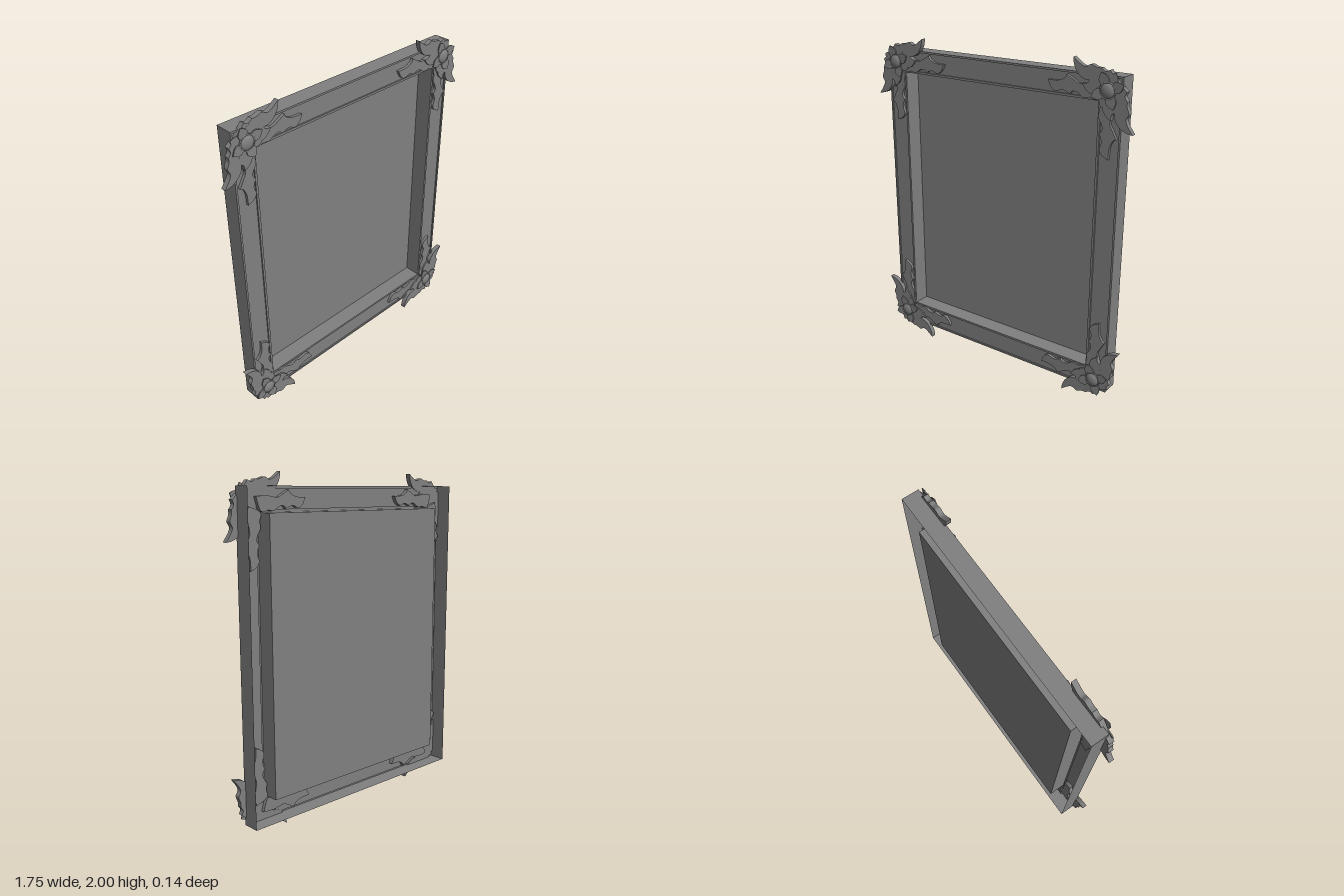
import * as THREE from 'three';

const grey = new THREE.MeshStandardMaterial({ color: 0x808080, side: THREE.DoubleSide });
const greyFlat = new THREE.MeshStandardMaterial({ color: 0x808080, side: THREE.DoubleSide, flatShading: true });

function add(parent, name, geometry, material) {
  const mesh = new THREE.Mesh(geometry, material);
  mesh.name = name;
  parent.add(mesh);
  return mesh;
}

// Moulding: rectangular rings [inset, z] joined in a loop, from back outer edge to tray bottom
function mouldingGeometry(halfW, halfH, profile) {
  const corners = [[1, 1], [-1, 1], [-1, -1], [1, -1]];
  const at = ([inset, z], i) => {
    const [sx, sy] = corners[i % 4];
    return [sx * (halfW - inset), sy * (halfH - inset), z];
  };
  const pos = [];
  for (let k = 0; k < profile.length - 1; k++) {
    for (let i = 0; i < 4; i++) {
      const a = at(profile[k], i), b = at(profile[k], i + 1);
      const c = at(profile[k + 1], i + 1), d = at(profile[k + 1], i);
      pos.push(...a, ...b, ...c, ...a, ...c, ...d);
    }
  }
  const geo = new THREE.BufferGeometry();
  geo.setAttribute('position', new THREE.Float32BufferAttribute(pos, 3));
  geo.computeVertexNormals();
  return geo;
}

// Leaf outline: each run is a smooth curve, and runs meet in sharp points
function leafGeometry(leaf, map) {
  const shape = new THREE.Shape();
  const toVec = (p) => new THREE.Vector2(...map(p));
  const first = toVec(leaf.start);
  shape.moveTo(first.x, first.y);
  for (const run of leaf.runs) shape.splineThru(run.map(toVec));
  const geo = new THREE.ExtrudeGeometry(shape, { depth: leaf.depth, bevelEnabled: false, curveSegments: 5 });
  return geo.translate(0, 0, leaf.z);
}

// Leaf outlines around the flower; x and y grow towards the outer corner
const OUTER_LEAF = {
  z: 0.018,
  depth: 0.03,
  start: [0.05, 0.05],
  runs: [
    [[0.025, 0.08], [0.005, 0.105]],
    [[-0.02, 0.095], [-0.045, 0.11]],
    [[-0.07, 0.11], [-0.105, 0.122], [-0.135, 0.108], [-0.165, 0.118], [-0.21, 0.15]],
    [[-0.203, 0.11], [-0.18, 0.07], [-0.145, 0.045], [-0.11, 0.04]],
    [[-0.125, 0.025], [-0.155, 0.02]],
    [[-0.11, -0.025], [-0.03, -0.03]],
    [[0.05, 0.05]],
  ],
};
const INNER_LEAF = {
  z: -0.003,
  depth: 0.042,
  start: [-0.03, 0.02],
  runs: [
    [[-0.1, 0.025], [-0.17, 0.015], [-0.205, 0.03], [-0.25, 0.055]],
    [[-0.262, 0.035], [-0.3, 0.018], [-0.365, 0.014]],
    [[-0.345, -0.025], [-0.315, -0.042], [-0.275, -0.03], [-0.23, -0.045]],
    [[-0.21, -0.03], [-0.18, -0.035], [-0.145, -0.055], [-0.11, -0.05]],
    [[-0.06, -0.055], [-0.03, 0.02]],
  ],
};

// Flower: two layers of pointed petals, a collar and a domed centre
function createFlower() {
  const flower = new THREE.Group();
  flower.name = 'flower';
  const petal = new THREE.Shape();
  petal.moveTo(0.02, 0);
  petal.quadraticCurveTo(0.055, 0.06, 0.1, 0);
  petal.quadraticCurveTo(0.055, -0.06, 0.02, 0);
  const petalGeo = new THREE.ExtrudeGeometry(petal, { depth: 0.006, bevelEnabled: false, curveSegments: 6 });
  for (let i = 0; i < 8; i++) {
    const pivot = new THREE.Group();
    pivot.rotation.z = ((i + 0.5) / 8) * Math.PI * 2;
    pivot.position.z = i % 2 ? 0.044 : 0.05;
    flower.add(pivot);
    const mesh = add(pivot, 'petal', petalGeo, grey);
    mesh.rotation.y = i % 2 ? 0.02 : -0.06;
  }
  add(flower, 'flowerCollar', new THREE.TorusGeometry(0.044, 0.005, 6, 24), grey).position.z = 0.055;
  const dome = new THREE.SphereGeometry(0.042, 20, 8, 0, Math.PI * 2, 0, Math.PI / 2);
  dome.rotateX(Math.PI / 2).scale(1, 1, 0.45);
  add(flower, 'flowerCentre', dome, grey).position.z = 0.052;
  return flower;
}

// Corner ornament: leaves mirrored over the diagonal, then a flower on top
function createOrnament(sx, sy) {
  const ornament = new THREE.Group();
  ornament.name = 'cornerOrnament';
  const halves = [([x, y]) => [sx * x, sy * y], ([x, y]) => [sx * y, sy * x]];
  for (const map of halves) {
    add(ornament, 'outerLeaf', leafGeometry(OUTER_LEAF, map), grey);
    add(ornament, 'innerLeaf', leafGeometry(INNER_LEAF, map), grey);
  }
  ornament.add(createFlower());
  ornament.position.set(sx * 0.725, 1 + sy * 0.85, 0);
  return ornament;
}

export function createModel() {
  const model = new THREE.Group();
  model.name = 'pictureFrame';
  const halfW = 0.8, halfH = 0.924, inset = 0.137, back = -0.073;

  // Frame with raised lips, open behind, and a tray wall going back
  const profile = [
    [0, back], [0, 0.03], [0.011, 0.03], [0.011, 0.022],
    [0.124, 0.022], [0.124, 0.03], [inset, 0.03], [inset, back],
  ];
  add(model, 'moulding', mouldingGeometry(halfW, halfH, profile), greyFlat).position.y = 1;

  // Picture panel closing the tray
  const panel = new THREE.PlaneGeometry(2 * (halfW - inset), 2 * (halfH - inset));
  add(model, 'backPanel', panel, greyFlat).position.set(0, 1, back);

  for (const sx of [-1, 1]) for (const sy of [-1, 1]) model.add(createOrnament(sx, sy));
  return model;
}
